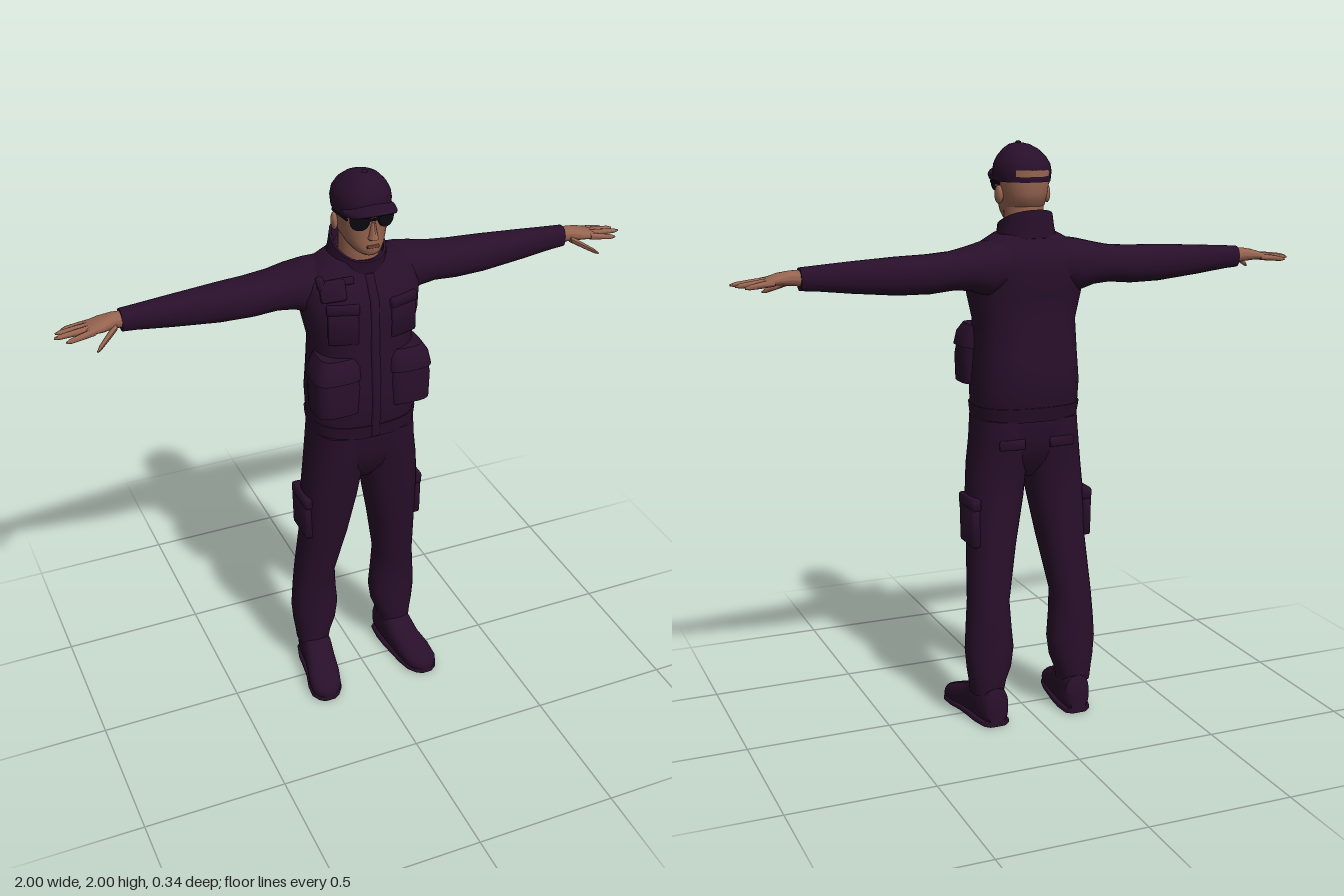
import * as THREE from 'three';
import { toCreasedNormals } from 'three/addons/utils/BufferGeometryUtils.js';
import { RoundedBoxGeometry } from 'three/addons/geometries/RoundedBoxGeometry.js';

const mat = (name, color) => {
  const m = new THREE.MeshStandardMaterial({ color });
  m.name = name;
  return m;
};

// Skin over superellipse rings [t, a, b, ra, rb] along an axis:
// y -> a = x, b = z;  x -> a = y, b = z;  z -> a = x, b = y. Tilt leans rings on a y axis.
function loft(axis, rings, p = 2.3, tilt = 0, n = 28) {
  const pos = [], idx = [];
  const place = (t, a, b) => axis === 'y' ? [a, t, b] : axis === 'x' ? [t, a, b] : [a, b, t];
  const power = v => Math.sign(v) * Math.pow(Math.abs(v), 2 / p);
  for (const [t, a, b, ra, rb] of rings) {
    for (let i = 0; i < n; i++) {
      const u = (i / n) * Math.PI * 2, db = rb * power(Math.sin(u));
      pos.push(...place(t + tilt * db, a + ra * power(Math.cos(u)), b + db));
    }
  }
  const last = rings.length - 1;
  pos.push(...place(...rings[0]), ...place(...rings[last]));
  const tri = (a, b, c) => axis === 'y' ? idx.push(a, c, b) : idx.push(a, b, c);
  const c0 = rings.length * n;
  for (let i = 0; i < n; i++) {
    const j = (i + 1) % n;
    for (let r = 0; r < last; r++) {
      const a = r * n + i, b = r * n + j;
      tri(a, b, b + n);
      tri(a, b + n, a + n);
    }
    tri(c0, j, i);
    tri(c0 + 1, last * n + i, last * n + j);
  }
  const g = new THREE.BufferGeometry();
  g.setAttribute('position', new THREE.Float32BufferAttribute(pos, 3));
  g.setIndex(idx);
  return g;
}

// Reflection across x = 0, with the corner order restored
function mirrored(geo) {
  const g = geo.index ? geo.toNonIndexed() : geo.clone();
  const p = g.attributes.position;
  for (let i = 0; i < p.count; i += 3) {
    const v = [0, 1, 2].map(k => [-p.getX(i + k), p.getY(i + k), p.getZ(i + k)]);
    v.reverse().forEach((q, k) => p.setXYZ(i + k, ...q));
  }
  return g;
}

const box = (w, h, d, x, y, z, rx = 0, ry = 0, rz = 0) =>
  new RoundedBoxGeometry(w, h, d, 2, Math.min(w, h, d) * 0.3)
    .rotateX(rx).rotateY(ry).rotateZ(rz).translate(x, y, z);

export function createModel() {
  const model = new THREE.Group();
  const uniform = mat('dark plum cloth', 0x280f2a);
  const skin = mat('skin', 0x966450);
  const lip = mat('lips', 0x7a4a3e);
  const glass = mat('black lens', 0x0d0910);

  const add = (name, geo, m = uniform) => {
    const mesh = new THREE.Mesh(toCreasedNormals(geo, 0.8), m);
    mesh.name = name;
    model.add(mesh);
  };
  const pair = (name, geo, m = uniform) => {
    add(name + 'Left', geo, m);
    add(name + 'Right', mirrored(geo), m);
  };

  // Jacket
  add('jacket', loft('y', [
    [1.075, 0, -.015, .178, .132], [1.12, 0, -.018, .184, .142], [1.2, 0, -.02, .186, .153],
    [1.3, 0, -.02, .178, .15], [1.41, 0, -.018, .174, .138], [1.5, 0, -.02, .195, .14],
    [1.58, 0, -.028, .203, .141], [1.63, 0, -.04, .19, .125], [1.67, 0, -.04, .16, .1],
    [1.7, 0, -.037, .105, .088]], 2.5));
  add('hem', loft('y', [[1.075, 0, -.015, .183, .137], [1.125, 0, -.018, .189, .147]], 2.5));
  add('frontPlacket', loft('y', [[1.08, 0, .112, .016, .014], [1.2, 0, .125, .016, .014],
    [1.3, 0, .122, .016, .014], [1.41, 0, .112, .016, .014], [1.58, 0, .105, .016, .014],
    [1.66, 0, .056, .016, .014]], 4));
  add('collar', loft('y', [[1.65, 0, -.035, .108, .1], [1.7, 0, -.033, .094, .1],
    [1.742, 0, -.03, .088, .102], [1.742, 0, -.03, .08, .094], [1.7, 0, -.03, .075, .085]], 2.2, -.39));

  // Jacket pockets and shoulder radio
  pair('waistPocket', loft('y', [[1.19, .126, .065, .078, .074], [1.28, .126, .066, .08, .077],
    [1.37, .122, .062, .068, .068]], 3.5));
  pair('waistPocketFlap', loft('y', [[1.315, .126, .065, .083, .08], [1.36, .123, .064, .076, .076],
    [1.39, .118, .055, .062, .064]], 3.5));
  pair('chestPocket', box(.1, .12, .02, .105, 1.5, .1, 0, .3));
  pair('chestPocketFlap', box(.108, .035, .026, .105, 1.565, .099, -.1, .3));
  add('radio', box(.085, .07, .035, -.13, 1.625, .075, -.45, -.25, .1));
  add('radioStrap', box(.12, .025, .03, -.115, 1.645, .06, -.5, -.25, .12));
  add('radioKnob', box(.025, .05, .025, -.165, 1.65, .06, -.3, 0, .2));

  // Sleeves
  pair('sleeve', loft('x', [[.08, 1.605, -.055, .08, .1], [.16, 1.59, -.065, .09, .1],
    [.22, 1.594, -.077, .072, .09], [.28, 1.59, -.08, .063, .08], [.36, 1.583, -.08, .064, .073],
    [.47, 1.582, -.078, .062, .062], [.62, 1.585, -.076, .051, .046], [.74, 1.588, -.075, .04, .035],
    [.785, 1.588, -.075, .037, .032], [.785, 1.588, -.075, .03, .026]]));

  // Hands
  pair('palm', loft('x', [[.77, 1.59, -.075, .026, .026], [.81, 1.593, -.073, .024, .031],
    [.85, 1.591, -.067, .019, .044], [.89, 1.585, -.068, .012, .043], [.9, 1.584, -.069, .007, .038]]), skin);
  const fingers = [
    ['indexFinger', [.875, 1.586, -.034], [.97, 1.572, -.022]],
    ['middleFinger', [.88, 1.587, -.057], [1, 1.578, -.053]],
    ['ringFinger', [.88, 1.586, -.08], [.99, 1.577, -.084]],
    ['littleFinger', [.87, 1.585, -.101], [.965, 1.573, -.111]],
    ['thumb', [.805, 1.582, -.05], [.885, 1.541, .014]]];
  for (const [name, a, b] of fingers) {
    const rings = [[0, .012], [.45, .0105], [.85, .008], [1, .003]].map(([f, r]) =>
      [...a.map((v, k) => v + (b[k] - v) * f), r, name === 'thumb' ? r * 1.35 : r]);
    pair(name, loft('x', rings, 2, 0, 10), skin);
  }

  // Trousers
  add('hips', loft('y', [[.87, 0, -.015, .03, .06], [.93, 0, -.015, .14, .1],
    [1, 0, -.018, .186, .126], [1.09, 0, -.015, .18, .13]], 2.5));
  pair('trouserLeg', loft('y', [[.11, .165, -.08, .058, .062], [.15, .163, -.081, .064, .065],
    [.2, .157, -.081, .078, .066], [.27, .155, -.08, .086, .067], [.35, .156, -.078, .079, .07],
    [.44, .155, -.073, .071, .077], [.63, .131, -.04, .083, .09], [.8, .113, -.025, .098, .101],
    [.91, .101, -.016, .101, .108], [1, .091, -.018, .098, .125], [1.08, .09, -.015, .092, .128]]));
  pair('cargoPocket', box(.03, .15, .13, .207, .715, -.04, 0, 0, -.02));
  pair('cargoPocketFlap', box(.036, .045, .138, .206, .79, -.038, 0, 0, -.02));
  pair('backPocketFlap', box(.09, .035, .016, .09, 1.0, -.139, .1, -.1));

  // Boots
  const boot = [[-.158, .155, .05, .03, .045], [-.145, .155, .068, .045, .068], [-.09, .16, .075, .055, .075],
    [-.03, .165, .072, .056, .072], [.02, .172, .055, .056, .055], [.08, .184, .042, .06, .042],
    [.13, .192, .032, .055, .032], [.158, .195, .027, .038, .026], [.17, .196, .024, .02, .016]];
  pair('boot', loft('z', boot, 2.6));
  pair('sole', loft('z', boot.map(([z, x, , r]) => [z, x, .011, r + .003, .011]), 5));

  // Head
  add('neck', loft('y', [[1.66, 0, -.025, .066, .07], [1.79, 0, -.02, .066, .072]], 2), skin);
  add('head', loft('y', [[1.733, 0, .058, .024, .028], [1.743, 0, .048, .042, .048],
    [1.765, 0, .02, .06, .077], [1.79, 0, 0, .072, .094], [1.83, 0, -.004, .081, .101],
    [1.87, 0, -.005, .086, .104], [1.92, 0, -.005, .084, .1], [1.95, 0, 0, .06, .07]], 2.2), skin);
  add('nose', loft('y', [[1.788, 0, .09, .012, .012], [1.796, 0, .096, .018, .022],
    [1.81, 0, .095, .013, .02], [1.85, 0, .09, .008, .014]], 2, 0, 12), skin);
  add('mouth', box(.042, .01, .008, 0, 1.767, .096), lip);
  pair('ear', new THREE.SphereGeometry(1, 14, 10).scale(.012, .031, .02).rotateY(.25)
    .translate(.086, 1.825, -.015), skin);

  // Sunglasses
  const lens = new THREE.Shape();
  lens.moveTo(-.032, .019);
  lens.lineTo(.034, .019);
  lens.quadraticCurveTo(.036, -.018, .008, -.022);
  lens.quadraticCurveTo(-.028, -.024, -.032, .019);
  pair('lens', new THREE.ExtrudeGeometry(lens, { depth: .008, bevelEnabled: false })
    .rotateY(.38).translate(.041, 1.85, .09), glass);
  add('glassesBridge', box(.03, .008, .008, 0, 1.862, .104), glass);
  pair('glassesTemple', box(.006, .009, .1, .084, 1.862, .025, 0, -.1), glass);

  // Cap
  add('capCrown', loft('y', [[1.868, 0, -.006, .091, .108], [1.9, 0, -.005, .095, .111],
    [1.925, 0, -.004, .091, .106], [1.95, 0, 0, .077, .092], [1.972, 0, .008, .056, .068],
    [1.986, 0, .018, .033, .042], [1.991, 0, .024, .012, .016]], 2.1));
  add('capButton', new THREE.SphereGeometry(.01, 12, 8).scale(1, .6, 1).translate(0, 1.992, .026));
  const brim = [];
  for (let i = -8; i <= 8; i++) {
    const x = (i / 8) * .086, front = .06 + .11 * Math.sqrt(Math.max(.02, 1 - (i / 8) ** 2));
    brim.push([x, 1.904 - 3.6 * x * x, (front + .03) / 2, .008, (front - .03) / 2]);
  }
  add('capBrim', loft('x', brim, 3, 0, 16));
  // Gap above the cap strap
  add('capOpening', new THREE.CylinderGeometry(1, 1, .022, 14, 1, true, Math.PI - .65, 1.3)
    .scale(.097, 1, .1125).translate(0, 1.897, -.006), skin);

  return model;
}
